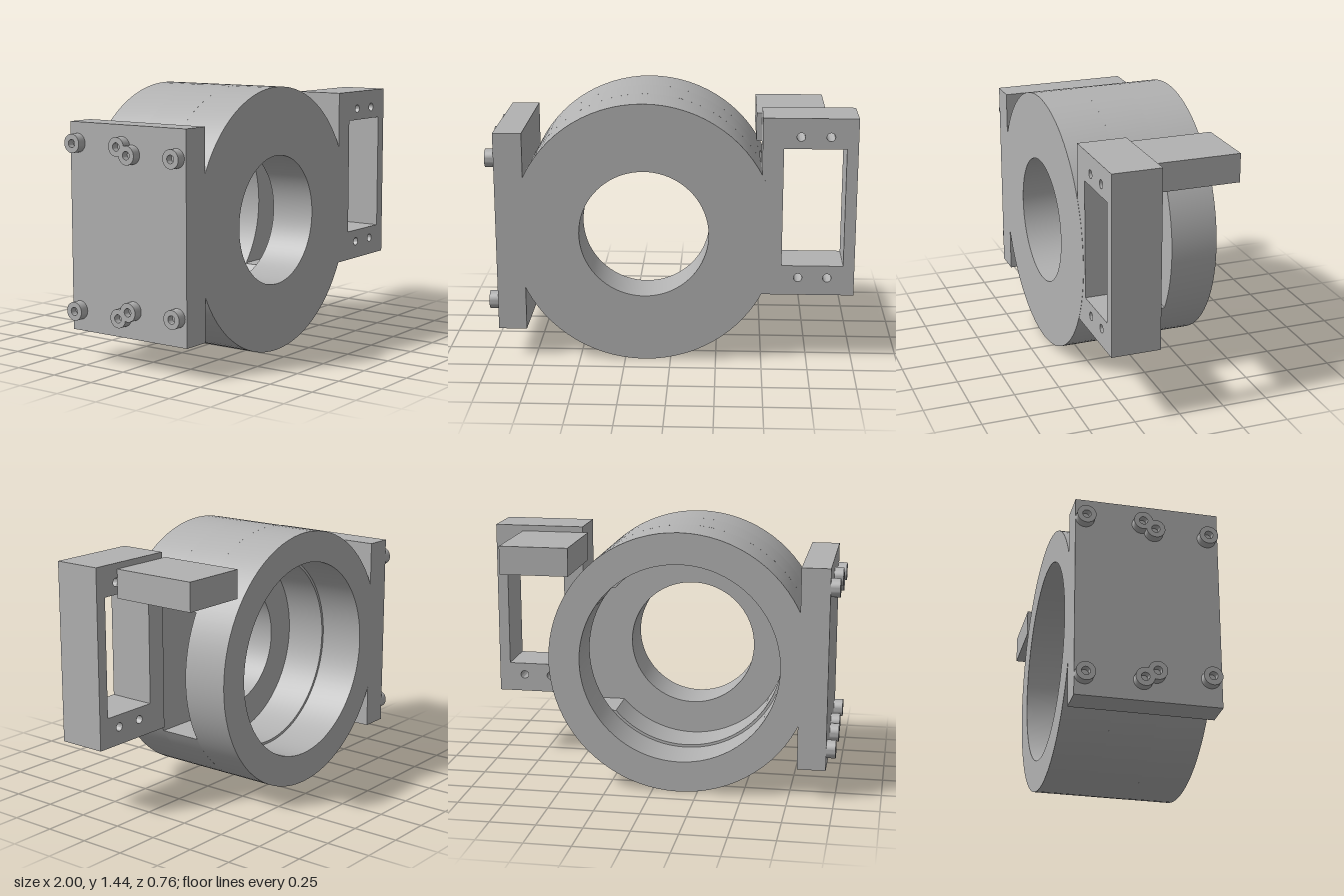
import * as THREE from 'three';
import { toCreasedNormals } from 'three/addons/utils/BufferGeometryUtils.js';

const CX = -0.145, CY = 0.724, R = 0.722;

export function createModel() {
  const group = new THREE.Group();
  const grey = new THREE.MeshStandardMaterial({ color: 0xb2b2b2 });
  grey.name = 'machined grey';

  const add = (name, geometry, x = 0, y = 0, z = 0) => {
    const mesh = new THREE.Mesh(geometry, grey);
    mesh.name = name;
    mesh.position.set(x, y, z);
    group.add(mesh);
    return mesh;
  };
  // Box given by its limits on each axis
  const block = (name, x0, x1, y0, y1, z0, z1) =>
    add(name, new THREE.BoxGeometry(x1 - x0, y1 - y0, z1 - z0), (x0 + x1) / 2, (y0 + y1) / 2, (z0 + z1) / 2);
  // Shape extruded along z, smooth on its curves and sharp on its edges
  const slab = (shape, depth) => toCreasedNormals(
    new THREE.ExtrudeGeometry(shape, { depth, bevelEnabled: false, curveSegments: 40 }), 0.5);
  const circle = (x, y, r) => new THREE.Path().absarc(x, y, r, 0, Math.PI * 2, true);

  const annulus = (inner) => {
    const shape = new THREE.Shape().absarc(0, 0, R, 0, Math.PI * 2, false);
    shape.holes.push(circle(0, 0, inner));
    return shape;
  };

  // Housing: thick front wall, slotted middle and wider rear bore
  add('housingFront', slab(annulus(0.352), 0.26), CX, CY, 0.12);
  add('housingRear', slab(annulus(0.55), 0.26), CX, CY, -0.38);
  const half = 0.354, pocket = 0.535;
  const a = Math.asin(half / R), b = Math.asin(half / pocket);
  const open = new THREE.Shape();
  open.absarc(0, 0, R, a, Math.PI * 2 - a, false);
  open.absarc(0, 0, pocket, Math.PI * 2 - b, b, true);
  open.closePath();
  add('housingMiddle', slab(open, 0.24), CX, CY, -0.12);

  // Mounting plate on the right flank
  block('mountingPlate', -0.95, -0.795, 0.17, 1.28, -0.38, 0.38);

  // Window bracket with four through holes
  const frame = new THREE.Shape();
  frame.moveTo(0.49, 0.392).lineTo(0.997, 0.392).lineTo(0.997, 1.376).lineTo(0.49, 1.376).closePath();
  const windowHole = new THREE.Path();
  windowHole.moveTo(0.603, 0.558).lineTo(0.603, 1.21).lineTo(0.936, 1.21).lineTo(0.936, 0.558).closePath();
  frame.holes.push(windowHole);
  for (const x of [0.692, 0.85])
    for (const y of [0.49, 1.275]) frame.holes.push(circle(x, y, 0.023));
  add('windowBracket', slab(frame, 0.269), 0, 0, 0.11);

  // Arm running back from the bracket
  block('rearArm', 0.46, 0.84, 1.187, 1.343, -0.38, 0.112);

  // Socket-head screws on the mounting plate
  const profile = [[0, 0.012], [0.022, 0.012], [0.022, 0.05], [0.05, 0.05], [0.05, -0.01]]
    .map(([x, y]) => new THREE.Vector2(x, y)).reverse();
  const screw = toCreasedNormals(new THREE.LatheGeometry(profile, 32), 0.5);
  for (const [z0, z1, top, bottom] of [[-0.33, -0.03, 1.17, 0.28], [0.035, 0.32, 1.13, 0.32]])
    for (const z of [z0, z1])
      for (const y of [top, bottom]) add('screw', screw, -0.95, y, z).rotation.z = Math.PI / 2;

  // Lathe profile runs from rim to centre, so reverse the faces to point outward
  const p = screw.attributes.position, n = screw.attributes.normal;
  const q = new THREE.Vector3(), e = new THREE.Vector3(), f = new THREE.Vector3();
  let outward = 0;
  for (let i = 0; i < p.count; i += 3) {
    q.fromBufferAttribute(p, i);
    e.fromBufferAttribute(p, i + 1);
    f.fromBufferAttribute(p, i + 2);
    outward += q.dot(e.cross(f));
  }
  if (outward < 0) {
    for (let i = 0; i < p.count; i += 3) {
      for (const attr of [p, n]) {
        q.fromBufferAttribute(attr, i + 1);
        e.fromBufferAttribute(attr, i + 2);
        attr.setXYZ(i + 1, e.x, e.y, e.z);
        attr.setXYZ(i + 2, q.x, q.y, q.z);
      }
    }
    for (let i = 0; i < n.count; i++) n.setXYZ(i, -n.getX(i), -n.getY(i), -n.getZ(i));
  }
  return group;
}
